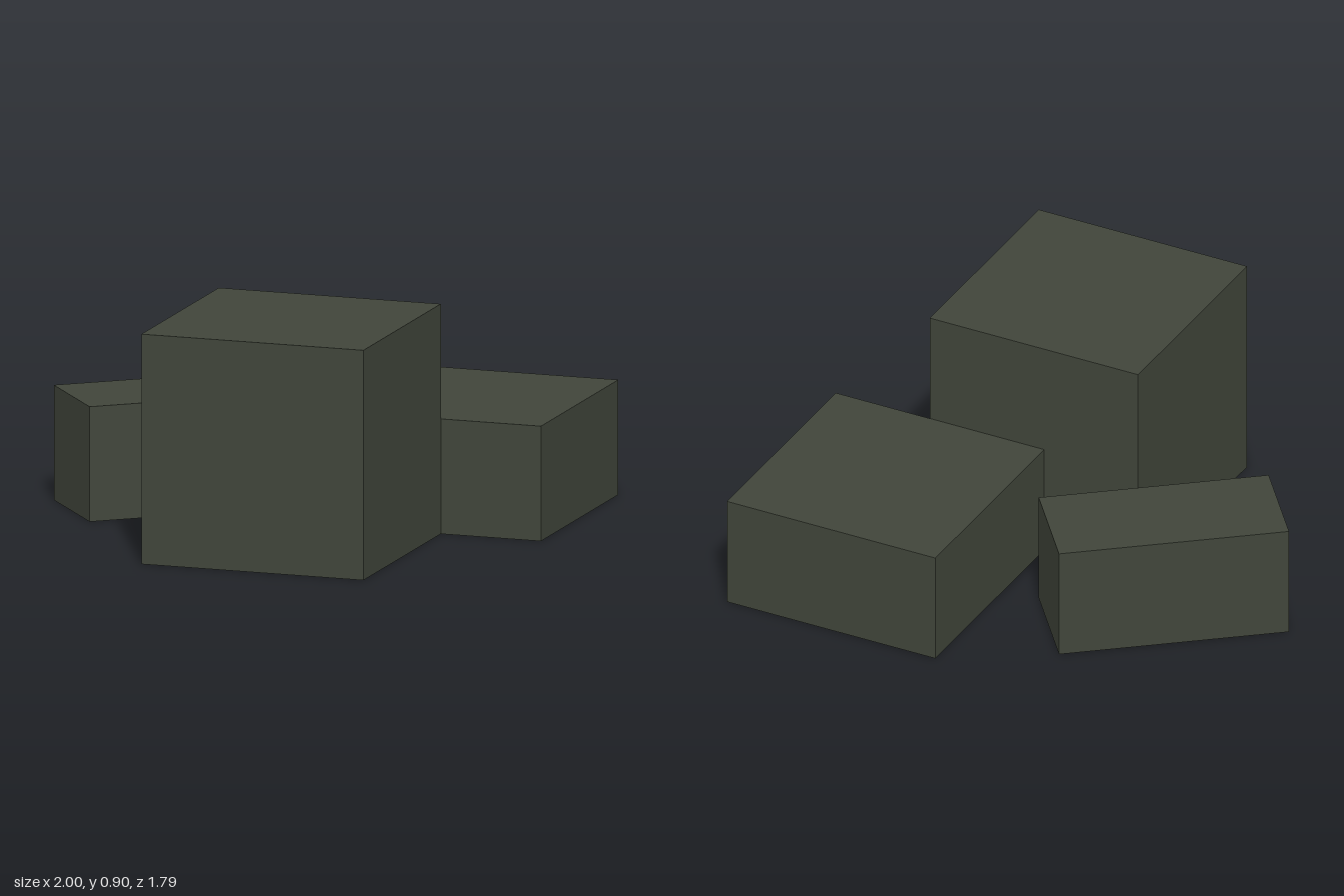
import * as THREE from 'three';

export function createModel() {
  const group = new THREE.Group();
  const darkOlive = new THREE.MeshStandardMaterial({ color: 0x40453a, side: THREE.DoubleSide });
  darkOlive.name = 'darkOlive';

  // A crate standing on the ground; open ones have no bottom face
  function addCrate(name, [w, h, d], [x, z], { turn = 0, open = false } = {}) {
    const geometry = new THREE.BoxGeometry(w, h, d);
    if (open) {
      const index = Array.from(geometry.index.array);
      index.splice(18, 6); // the -y face
      geometry.setIndex(index);
      geometry.clearGroups();
    }
    const mesh = new THREE.Mesh(geometry, darkOlive);
    mesh.name = name;
    mesh.position.set(x, h / 2, z);
    mesh.rotation.y = turn;
    group.add(mesh);
  }

  addCrate('tallCrate', [0.896, 0.896, 0.896], [0.148, 0.448]);
  addCrate('lowCrate', [0.896, 0.448, 0.896], [0.552, -0.448], { open: true });
  addCrate('turnedNarrowCrate', [0.892, 0.448, 0.42], [-0.52, -0.21],
    { turn: THREE.MathUtils.degToRad(38.2), open: true });

  return group;
}
